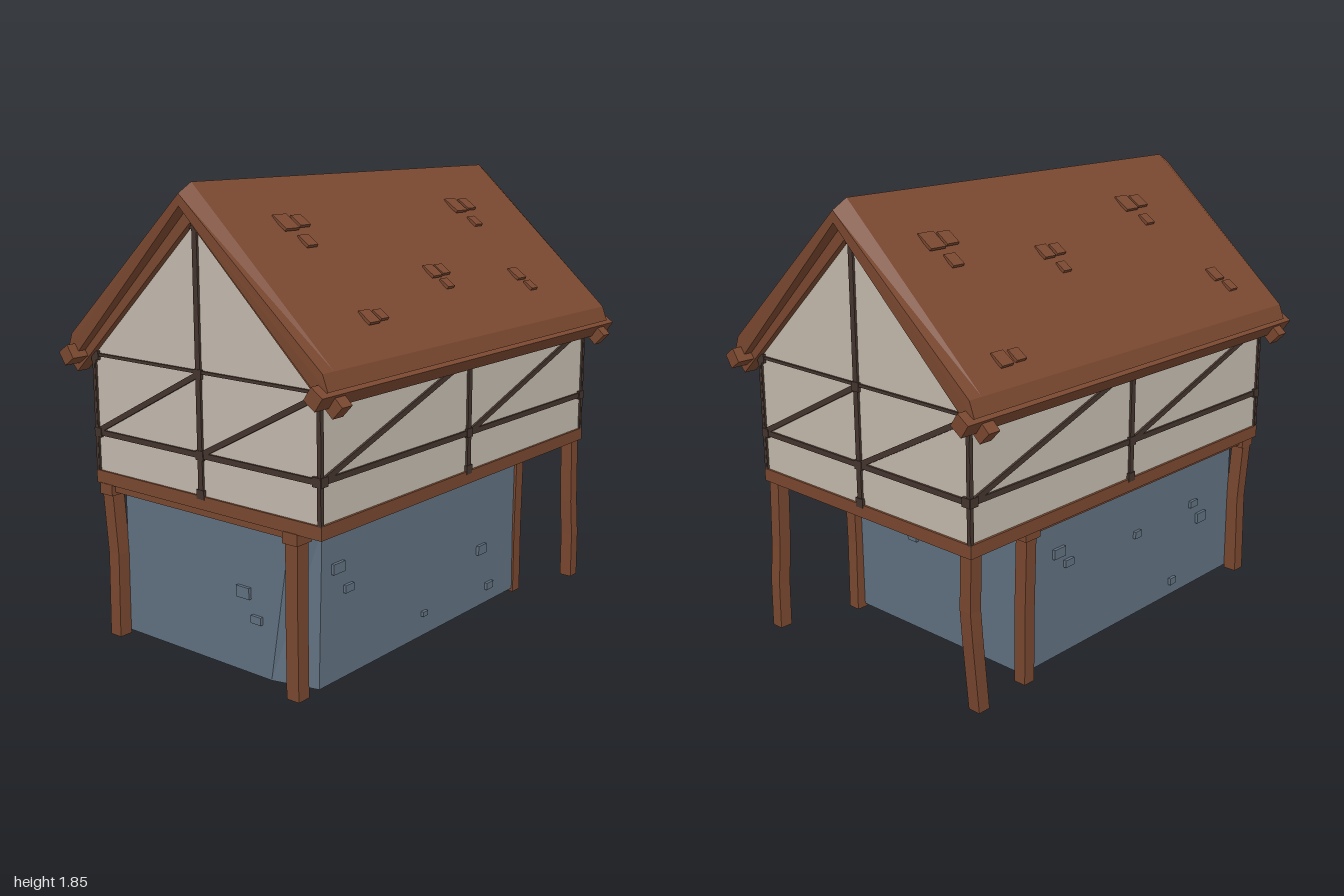
import * as THREE from 'three';

const mat = (name, color) => Object.assign(new THREE.MeshStandardMaterial({ color }), { name });
const V = (x, y, z) => new THREE.Vector3(x, y, z);

// Flat-shaded skin through matching rings (counter-clockwise about the loft axis), capped at both ends
function loft(rings) {
  const pos = [];
  const tri = (...pts) => pts.forEach(p => pos.push(p.x, p.y, p.z));
  const n = rings[0].length;
  for (let k = 0; k < rings.length - 1; k++) {
    for (let i = 0; i < n; i++) {
      const j = (i + 1) % n, a = rings[k], b = rings[k + 1];
      tri(a[i], a[j], b[j]);
      tri(a[i], b[j], b[i]);
    }
  }
  const first = rings[0], last = rings[rings.length - 1];
  for (let i = 1; i < n - 1; i++) {
    tri(first[0], first[i + 1], first[i]);
    tri(last[0], last[i], last[i + 1]);
  }
  const g = new THREE.BufferGeometry();
  g.setAttribute('position', new THREE.Float32BufferAttribute(pos, 3));
  g.computeVertexNormals();
  return g;
}

export function createModel() {
  const wood = mat('brownWood', 0x7a4830);
  const plaster = mat('plaster', 0xc4bbae);
  const stone = mat('blueStone', 0x607080);
  const timber = mat('darkTimber', 0x45352e);
  const model = new THREE.Group();
  model.name = 'stiltHouse';

  const add = (name, geo, material, parent = model) => {
    const m = new THREE.Mesh(geo, material);
    m.name = name;
    parent.add(m);
    return m;
  };
  const box = (name, w, h, d, x, y, z, material, parent) => {
    const m = add(name, new THREE.BoxGeometry(w, h, d), material, parent);
    m.position.set(x, y, z);
    return m;
  };

  // Stone ground floor with one cut corner
  const ring = (y, pts) => pts.map(([x, z]) => V(x, y, z));
  add('stoneBase', loft([
    ring(0.015, [[0.47, 0.79], [0.47, -0.545], [-0.495, -0.545], [-0.495, 0.84], [0.28, 0.84]]),
    ring(0.62, [[0.47, 0.77], [0.47, -0.545], [-0.495, -0.545], [-0.495, 0.84], [0.38, 0.84]]),
  ]), stone);

  // Stones standing proud of each wall: [across, y, width, height]
  const t = 0.02;
  [[0.15, 0.335, 0.065, 0.045], [0.215, 0.24, 0.05, 0.03]]
    .forEach(([x, y, w, h]) => box('wallStone', w, h, t, x, y, 0.843, stone));
  [[-0.23, 0.22, 0.06, 0.04], [0.1, 0.42, 0.05, 0.03]]
    .forEach(([x, y, w, h]) => box('wallStone', w, h, t, x, y, -0.548, stone));
  [[0.685, 0.46, 0.065, 0.04], [0.625, 0.365, 0.05, 0.03], [-0.27, 0.27, 0.06, 0.04],
    [-0.335, 0.09, 0.05, 0.03], [0.14, 0.11, 0.03, 0.02]]
    .forEach(([z, y, w, h]) => box('wallStone', t, h, w, 0.473, y, z, stone));
  [[-0.34, 0.46, 0.065, 0.04], [-0.28, 0.4, 0.05, 0.03], [0.16, 0.38, 0.04, 0.03],
    [0.62, 0.32, 0.065, 0.045], [0.56, 0.4, 0.05, 0.03], [0.42, 0.08, 0.04, 0.03]]
    .forEach(([z, y, w, h]) => box('wallStone', t, h, w, -0.498, y, z, stone));

  // Crooked posts, each through [x, y, z] centres
  const post = (name, path, r = 0.027) => add(name, loft(path.map(([x, y, z]) => [
    V(x + r, y, z + r), V(x + r, y, z - r), V(x - r, y, z - r), V(x - r, y, z + r)])), wood);
  post('frontPostRight', [[-0.525, 0, 0.868], [-0.52, 0.35, 0.865], [-0.535, 0.63, 0.872]], 0.029);
  post('frontPostLeft', [[0.435, 0, 0.868], [0.435, 0.35, 0.87], [0.438, 0.63, 0.87]], 0.029);
  post('wallPostRight', [[-0.515, 0, -0.556], [-0.52, 0.3, -0.56], [-0.525, 0.63, -0.556]]);
  post('wallPostLeft', [[0.45, 0, -0.558], [0.452, 0.3, -0.553], [0.455, 0.63, -0.556]]);
  post('porchPostLeft', [[0.555, 0, -0.888], [0.555, 0.2, -0.885], [0.55, 0.36, -0.875], [0.547, 0.66, -0.868]]);
  post('porchPostRight', [[-0.53, 0, -0.82], [-0.535, 0.3, -0.855], [-0.535, 0.42, -0.865], [-0.545, 0.66, -0.868]]);

  // Post caps and the beams resting on them
  for (const [x, z] of [[-0.53, 0.872], [0.44, 0.872], [-0.525, -0.556], [0.455, -0.556]]) {
    box('postCap', 0.07, 0.045, 0.08, x, 0.622, z, wood);
  }
  for (const z of [0.872, -0.556]) box('lowerCrossBeam', 0.98, 0.035, 0.045, -0.045, 0.63, z, wood);
  for (const x of [-0.525, 0.45]) box('lowerSideBeam', 0.045, 0.035, 1.45, x, 0.63, 0.158, wood);

  // Overhanging floor with its edge beams
  box('floor', 1.1, 0.03, 1.75, 0, 0.675, 0, timber);
  for (const s of [-1, 1]) {
    box('floorSideBeam', 0.07, 0.052, 1.815, s * 0.55, 0.668, 0, wood);
    box('floorEndBeam', 1.17, 0.052, 0.07, 0, 0.668, s * 0.874, wood);
  }

  // Plastered upper storey with gables
  const gable = new THREE.Shape();
  gable.moveTo(-0.575, 0.69);
  gable.lineTo(0.575, 0.69);
  gable.lineTo(0.575, 1.18);
  gable.lineTo(0, 1.73);
  gable.lineTo(-0.575, 1.18);
  const walls = new THREE.ExtrudeGeometry(gable, { depth: 1.8, bevelEnabled: false });
  walls.translate(0, 0, -0.9);
  add('plasterWalls', walls, plaster);

  // Timber framing, the same pattern on all four sides
  const frame = (name, half, depth, turn, top) => {
    const g = new THREE.Group();
    g.name = name;
    g.rotation.y = turn;
    model.add(g);
    const stick = (n, x1, y1, x2, y2, w) => {
      const m = box(n, Math.hypot(x2 - x1, y2 - y1), w, 0.018, (x1 + x2) / 2, (y1 + y2) / 2, depth, timber, g);
      m.rotation.z = Math.atan2(y2 - y1, x2 - x1);
    };
    stick('middleStud', 0, 0.69, 0, top, 0.024);
    stick('rail', -half, 0.85, half, 0.85, 0.022);
    stick('topRail', -half, 1.163, half, 1.163, 0.012);
    for (const s of [-1, 1]) stick('cornerStud', s * half, 0.69, s * half, 1.17, 0.012);
    stick('brace', -half, 0.85, 0, 1.155, 0.022);
    stick('brace', 0, 0.85, half, 1.155, 0.022);
    const e = half - 0.012;
    for (const [x, y] of [[0, 0.85], [0, 1.155], [0, 0.7], [0, top - 0.02], [-e, 0.85], [e, 0.85], [e, 1.15], [-e, 1.16]]) {
      box('joint', 0.038, 0.036, 0.024, x, y, depth, timber, g);
    }
  };
  frame('frontFrame', 0.577, 0.9, 0, 1.72);
  frame('backFrame', 0.577, 0.9, Math.PI, 1.72);
  frame('leftFrame', 0.902, 0.575, Math.PI / 2, 1.17);
  frame('rightFrame', 0.902, 0.575, -Math.PI / 2, 1.17);

  // Roof: two slopes whose ridge dips slightly at each end
  const stations = [[-0.98, -0.96, 1.81], [-0.915, -0.9, 1.847], [0.915, 0.9, 1.847], [0.98, 0.96, 1.81]];
  const pitch = Math.atan(0.945);
  for (const s of [1, -1]) {
    const rings = stations.map(([zr, ze, top]) => {
      const r = [V(0, 1.765, zr), V(s * 0.61, 1.17, ze), V(s * 0.66, 1.185, ze), V(s * 0.637, 1.245, ze), V(0, top, zr)];
      return s > 0 ? r : r.reverse();
    });
    add(s > 0 ? 'leftRoof' : 'rightRoof', loft(rings), wood);

    // Eave purlin and end rafters
    box('eavePurlin', 0.06, 0.06, 2, s * 0.628, 1.165, 0, wood).rotation.z = -s * 0.6;
    for (const z of [-0.9, 0.9]) {
      box('rafter', 0.925, 0.062, 0.055, s * 0.337, 1.428, z, wood).rotation.z = -s * pitch;
    }
  }

  // Loose roof tiles: [x, z, size]
  const tiles = [
    [0.17, 0.61, 0.075], [0.17, 0.53, 0.055], [0.24, 0.57, 0.055],
    [0.17, -0.48, 0.075], [0.17, -0.565, 0.06], [0.24, -0.525, 0.05],
    [0.4, 0.01, 0.06], [0.4, -0.055, 0.05], [0.45, -0.02, 0.045],
    [0.51, 0.55, 0.06], [0.51, 0.485, 0.045], [0.46, -0.52, 0.06], [0.51, -0.55, 0.045],
    [-0.18, -0.68, 0.075], [-0.18, -0.6, 0.06], [-0.25, -0.64, 0.055],
    [-0.56, -0.72, 0.06], [-0.56, -0.645, 0.05],
    [-0.28, -0.18, 0.06], [-0.28, -0.11, 0.05], [-0.34, -0.14, 0.045],
    [-0.17, 0.46, 0.075], [-0.17, 0.54, 0.06], [-0.24, 0.51, 0.05],
    [-0.48, 0.68, 0.06], [-0.53, 0.72, 0.05],
  ];
  for (const [x, z, size] of tiles) {
    const m = box('roofTile', size * 1.1, 0.012, size, x, 1.854 - 0.945 * Math.abs(x), z, wood);
    m.rotation.z = -Math.sign(x) * (pitch - 0.15);
  }
  return model;
}
